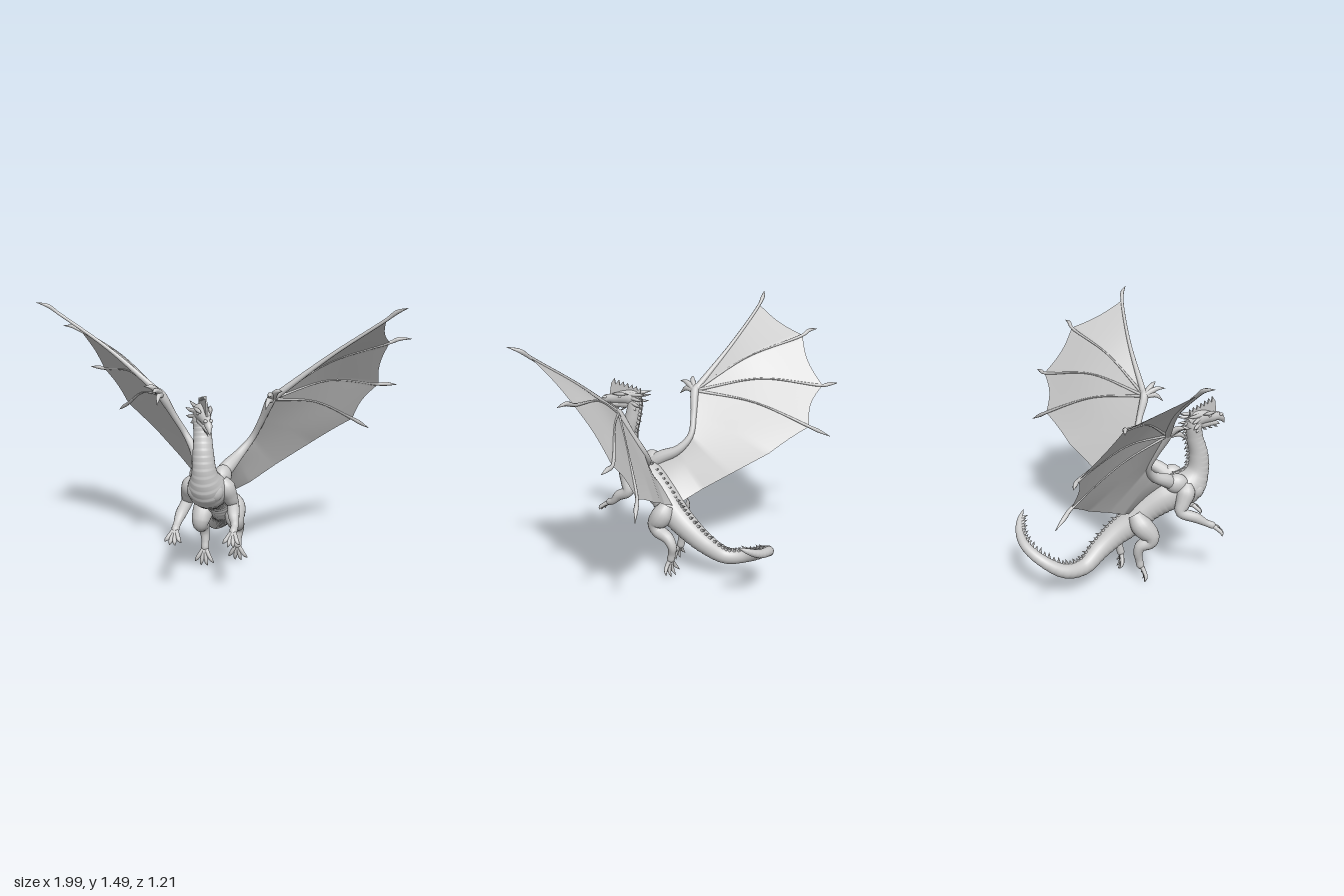
import * as THREE from 'three';

const V = (p) => new THREE.Vector3(p[0], p[1], p[2]);
const mat = new THREE.MeshStandardMaterial({ color: 0xcccccc });
const skinMat = new THREE.MeshStandardMaterial({ color: 0xcccccc, side: THREE.DoubleSide });

// Sweep an elliptical section along [x, y, z, radius] points; up is the starting dorsal direction
function sweep(parent, name, pts, { segs = 20, sides = 10, up = [0, 1, 0.01], wide = 1, rule = () => 1 } = {}) {
  const path = new THREE.CatmullRomCurve3(pts.map(V));
  const radii = new THREE.CatmullRomCurve3(pts.map((p) => new THREE.Vector3(p[3], 0, 0)), false, 'catmullrom');
  const pos = [], idx = [], rings = [];
  let n = V(up);
  for (let i = 0; i <= segs; i++) {
    const u = i / segs, c = path.getPoint(u), t = path.getTangent(u);
    n = n.clone().addScaledVector(t, -n.dot(t)).normalize();
    const b = t.clone().cross(n), r = Math.max(radii.getPoint(u).x, 0.0008);
    rings.push({ c, t, n, r });
    for (let j = 0; j < sides; j++) {
      const a = (j / sides) * Math.PI * 2, k = r * rule(u, a);
      const p = c.clone().addScaledVector(n, Math.cos(a) * k).addScaledVector(b, Math.sin(a) * k * wide);
      pos.push(p.x, p.y, p.z);
      if (i < segs) {
        const q = i * sides + j, q1 = i * sides + ((j + 1) % sides);
        idx.push(q, q1, q + sides, q1, q1 + sides, q + sides);
      }
    }
  }
  addMesh(parent, name, pos, idx, mat);
  return rings;
}

function addMesh(parent, name, pos, idx, material) {
  const g = new THREE.BufferGeometry();
  g.setAttribute('position', new THREE.Float32BufferAttribute(pos, 3));
  g.setIndex(idx);
  g.computeVertexNormals();
  const m = new THREE.Mesh(g, material);
  m.name = name;
  parent.add(m);
}

function ball(parent, name, p, size) {
  const m = new THREE.Mesh(new THREE.SphereGeometry(1, 18, 12), mat);
  m.name = name;
  m.position.set(...p);
  m.scale.set(...size);
  parent.add(m);
}

function group(parent, name) {
  const g = new THREE.Group();
  g.name = name;
  parent.add(g);
  return g;
}

// Body from the nape to the tail tip, with belly plates and a row of back spikes
function buildBody(root) {
  const pts = [
    [-0.03, 0.985, 0.40, 0.03], [-0.025, 0.94, 0.385, 0.043], [-0.015, 0.86, 0.392, 0.046], [-0.005, 0.755, 0.418, 0.054],
    [0, 0.65, 0.418, 0.067], [0, 0.56, 0.365, 0.102], [0, 0.5, 0.23, 0.095], [0, 0.43, 0.125, 0.083],
    [0, 0.355, 0.045, 0.08], [-0.01, 0.285, -0.055, 0.07], [-0.045, 0.21, -0.155, 0.058], [-0.11, 0.145, -0.255, 0.047],
    [-0.175, 0.165, -0.37, 0.039], [-0.165, 0.235, -0.49, 0.032], [-0.09, 0.295, -0.575, 0.027],
    [0.02, 0.33, -0.6, 0.023], [0.1, 0.37, -0.59, 0.016], [0.155, 0.405, -0.565, 0.001],
  ];
  const plates = (u, a) => 1 + 0.05 * Math.max(0, -Math.cos(a)) * (1 - ((u * 60) % 1));
  const rings = sweep(root, 'body', pts, { segs: 360, sides: 24, up: [0, 0, -1], rule: plates });
  const spikes = group(root, 'backSpikes');
  for (let i = 12; i < 345; i += 5) {
    const { c, t, n, r } = rings[i];
    const h = (i > 95 && i < 165 ? 0.024 : 0.036) * (i % 2 ? 0.75 : 1.1);
    const cone = new THREE.Mesh(new THREE.ConeGeometry(0.012, h, 6), mat);
    cone.name = 'spike';
    const dir = n.clone().addScaledVector(t, 0.5).normalize();
    cone.position.copy(c).addScaledVector(n, r * 0.97).addScaledVector(dir, h * 0.35);
    cone.quaternion.setFromUnitVectors(new THREE.Vector3(0, 1, 0), dir);
    spikes.add(cone);
  }
}

// Head, turned a little to its left
function buildHead(root) {
  const head = group(root, 'head');
  head.position.set(-0.025, 0.97, 0.385);
  head.rotation.y = 0.45;
  sweep(head, 'skull', [[0, -0.01, -0.04, 0.012], [0, -0.004, 0, 0.043], [0, -0.004, 0.06, 0.041], [0, -0.016, 0.12, 0.031],
    [0, -0.024, 0.17, 0.023], [0, -0.04, 0.2, 0.019], [0, -0.075, 0.225, 0.002]], { segs: 30, sides: 16, wide: 0.9 });
  sweep(head, 'lowerJaw', [[0, -0.035, 0.0, 0.026], [0, -0.045, 0.06, 0.024], [0, -0.053, 0.12, 0.017],
    [0, -0.062, 0.165, 0.011], [0, -0.075, 0.19, 0.001]], { wide: 1.2 });
  // Beard spines under the chin
  for (const z of [0.06, 0.1, 0.14])
    sweep(head, 'beard', [[0, -0.05, z, 0.01], [0, -0.075, z + 0.012, 0.006], [0, -0.09, z + 0.04, 0.001]], { segs: 8, sides: 6 });
  // Serrated crest fin
  const fin = new THREE.Shape();
  fin.moveTo(-0.03, 0.01);
  for (let i = 0; i < 7; i++) {
    const x = -0.03 + i * 0.027;
    fin.lineTo(x - 0.006, 0.06 + i * 0.007);
    fin.lineTo(x + 0.014, 0.043 + i * 0.005);
  }
  fin.lineTo(0.16, -0.01);
  const crest = new THREE.Mesh(new THREE.ExtrudeGeometry(fin, { depth: 0.008, bevelEnabled: false }).rotateY(-Math.PI / 2), mat);
  crest.name = 'crest';
  crest.position.x = 0.004;
  head.add(crest);
  for (const s of [-1, 1]) {
    const ends = [[0.04, 0.035, -0.085], [0.065, 0.005, -0.075], [0.065, -0.035, -0.06], [0.05, -0.065, -0.02]];
    for (const [x, y, z] of ends) {
      sweep(head, 'horn', [[s * 0.024, y * 0.6, 0.02, 0.013], [s * x * 0.8, y * 0.85 - 0.004, z * 0.5, 0.009],
        [s * x, y, z, 0.001]], { segs: 8, sides: 7 });
    }
    sweep(head, 'brow', [[s * 0.024, 0.016, 0.13, 0.004], [s * 0.033, 0.022, 0.08, 0.011], [s * 0.045, 0.028, 0.02, 0.001]], { segs: 10, sides: 7 });
    ball(head, 'eye', [s * 0.032, 0.006, 0.085], [0.008, 0.008, 0.01]);
    ball(head, 'nostril', [s * 0.014, -0.012, 0.185], [0.01, 0.008, 0.014]);
  }
}

// Wing: arm, four clawed fingers and a scalloped membrane; the right one twists slightly towards its tip
function buildWing(root, s) {
  const wing = group(root, s > 0 ? 'leftWing' : 'rightWing');
  const m = ([x, y, z, r]) => {
    const twist = s < 0 ? 0.08 * x : 0;
    return [s * x, y - twist * z, z + twist * (y - 1.03), r];
  };
  const wrist = [0.3, 1.0, 0.17];
  sweep(wing, 'wingArm', [[0.03, 0.57, 0.3, 0.035], [0.075, 0.628, 0.23, 0.04], [0.125, 0.685, 0.14, 0.027], [0.185, 0.765, 0.1, 0.018],
    [0.245, 0.88, 0.13, 0.018], [...wrist, 0.024], [0.33, 1.04, 0.17, 0.005]].map(m), { segs: 36, sides: 12 });
  // Each finger: middle, membrane end, claw bend, tip
  const fingers = [
    [[0.6, 1.235, 0.135], [0.87, 1.425, 0.14], [0.92, 1.465, 0.15], [0.975, 1.49, 0.18]],
    [[0.58, 1.175, 0.0], [0.88, 1.265, -0.175], [0.93, 1.285, -0.185], [0.995, 1.285, -0.2]],
    [[0.57, 1.06, -0.1], [0.82, 1.0, -0.36], [0.865, 1.0, -0.378], [0.92, 0.995, -0.395]],
    [[0.5, 0.935, -0.11], [0.68, 0.79, -0.37], [0.72, 0.76, -0.405], [0.77, 0.72, -0.45]],
  ];
  fingers.forEach((f, i) => sweep(wing, 'wingFinger', [[...wrist, i ? 0.009 : 0.02], [...f[0], i ? 0.005 : 0.011], [...f[1], 0.009],
    [...f[2], 0.011], [...f[3], 0.001]].map(m), { segs: 28, sides: 8 }));
  for (const [x, y, z] of [[0.29, 0.965, 0.28], [0.31, 1.035, 0.295], [0.37, 1.06, 0.25]])
    sweep(wing, 'wristClaw', [[...wrist, 0.02], [(x + 0.3) / 2, (y + 1) / 2 + 0.02, (z + 0.17) / 2 + 0.01, 0.014], [x, y, z, 0.001]].map(m), { segs: 10, sides: 8 });
  // Membrane ribs: the fingers, then lines from the arm to the trailing edge
  const ribs = fingers.map((f) => [wrist, f[0], f[1]]).concat([
    [[0.245, 0.88, 0.13], [0.36, 0.79, -0.06], [0.46, 0.665, -0.255]],
    [[0.185, 0.765, 0.1], [0.225, 0.67, 0.0], [0.28, 0.56, -0.125]],
    [[0.125, 0.685, 0.14], [0.13, 0.58, 0.06], [0.15, 0.475, -0.025]],
    [[0.04, 0.6, 0.24], [0.04, 0.52, 0.12], [0.04, 0.42, 0.02]],
  ]).map((r) => new THREE.CatmullRomCurve3(r.map(m).map(V)));
  const scallop = [0.03, 0.04, 0.045, 0.01, 0, 0, 0];
  const pos = [], idx = [], N = 10, M = 16;
  for (let k = 0; k <= 7 * N; k++) {
    const i = Math.min(Math.floor(k / N), 6), w = k / N - i;
    for (let j = 0; j <= M; j++) {
      const t = (j / M) * (1 - scallop[i] * Math.sin(Math.PI * w));
      const p = ribs[i].getPoint(t).lerp(ribs[i + 1].getPoint(t), w);
      pos.push(p.x, p.y, p.z);
      const q = k * (M + 1) + j;
      if (k < 7 * N && j < M) idx.push(q, q + 1, q + M + 1, q + 1, q + M + 2, q + M + 1);
    }
  }
  addMesh(wing, 'membrane', pos, idx, skinMat);
}

// Digits fan out sideways from a paw along a direction
function digits(parent, name, from, dir, count, spread, len) {
  for (let i = 0; i < count; i++) {
    const k = (i / (count - 1)) * 2 - 1, l = len * (1 - 0.2 * k * k);
    const at = (f, lift, r) => [from[0] + k * spread * f, from[1] + dir[1] * l * f, from[2] + dir[2] * l * f + lift, r];
    sweep(parent, name, [at(0, 0, 0.014), at(0.4, 0.012, 0.012), at(0.75, 0.014, 0.01), at(1, 0, 0.001)], { segs: 12, sides: 8, up: [1, 0, 0.1] });
  }
}

// Front arm with the hand reaching forward
function buildArm(root, s, hand) {
  const arm = group(root, s > 0 ? 'leftArm' : 'rightArm');
  const [x, y, z] = hand;
  sweep(arm, 'arm', [[s * 0.07, 0.6, 0.34, 0.03], [s * 0.09, 0.555, 0.335, 0.052], [s * 0.11, 0.5, 0.315, 0.043], [s * 0.125, 0.45, 0.3, 0.033],
    [(s * 0.13 + x) / 2, 0.41, (0.3 + z) / 2, 0.03], [x, y + 0.01, z - 0.03, 0.02], [x, y - 0.01, z + 0.01, 0.02], [x, y - 0.02, z + 0.03, 0.005]],
  { segs: 32, sides: 14, up: [1, 0, 0] });
  digits(arm, 'finger', [x, y - 0.005, z], [0, -0.68, 0.65], 4, 0.045, 0.105);
  ball(arm, 'shoulder', [s * 0.065, 0.6, 0.285], [0.048, 0.058, 0.065]);
  ball(arm, 'breast', [s * 0.042, 0.55, 0.4], [0.054, 0.06, 0.05]);
}

// Hind leg: thigh, folded shank and hanging foot
function buildLeg(root, s, dz) {
  const leg = group(root, s > 0 ? 'leftHindLeg' : 'rightHindLeg');
  const k = dz / 0.09;
  sweep(leg, 'leg', [[s * 0.05, 0.42, 0.05, 0.04], [s * 0.08, 0.36, 0.065 + dz * 0.2, 0.062], [s * 0.093, 0.295, 0.1 + dz * 0.4, 0.052],
    [s * 0.097, 0.26, 0.08 + dz * 0.6, 0.042], [s * 0.093, 0.235, 0.01 + dz * 0.8, 0.034], [s * 0.09, 0.19, -0.022 + dz, 0.027],
    [s * 0.085, 0.14, -0.015 + dz, 0.022], [s * 0.085, 0.1, -0.007 + dz, 0.022], [s * 0.085, 0.08, -0.005 + dz, 0.008]],
  { segs: 40, sides: 16, up: [1, 0, 0] });
  digits(leg, 'toe', [s * 0.085, 0.108, -0.007 + dz], [0, -1, -0.2 + 0.4 * k], 4, 0.056, 0.11);
}

export function createModel() {
  const root = new THREE.Group();
  root.name = 'dragon';
  buildBody(root);
  buildHead(root);
  for (const s of [1, -1]) buildWing(root, s);
  buildArm(root, 1, [0.155, 0.36, 0.425]);
  buildArm(root, -1, [-0.14, 0.365, 0.475]);
  buildLeg(root, 1, 0);
  buildLeg(root, -1, 0.085);
  return root;
}
